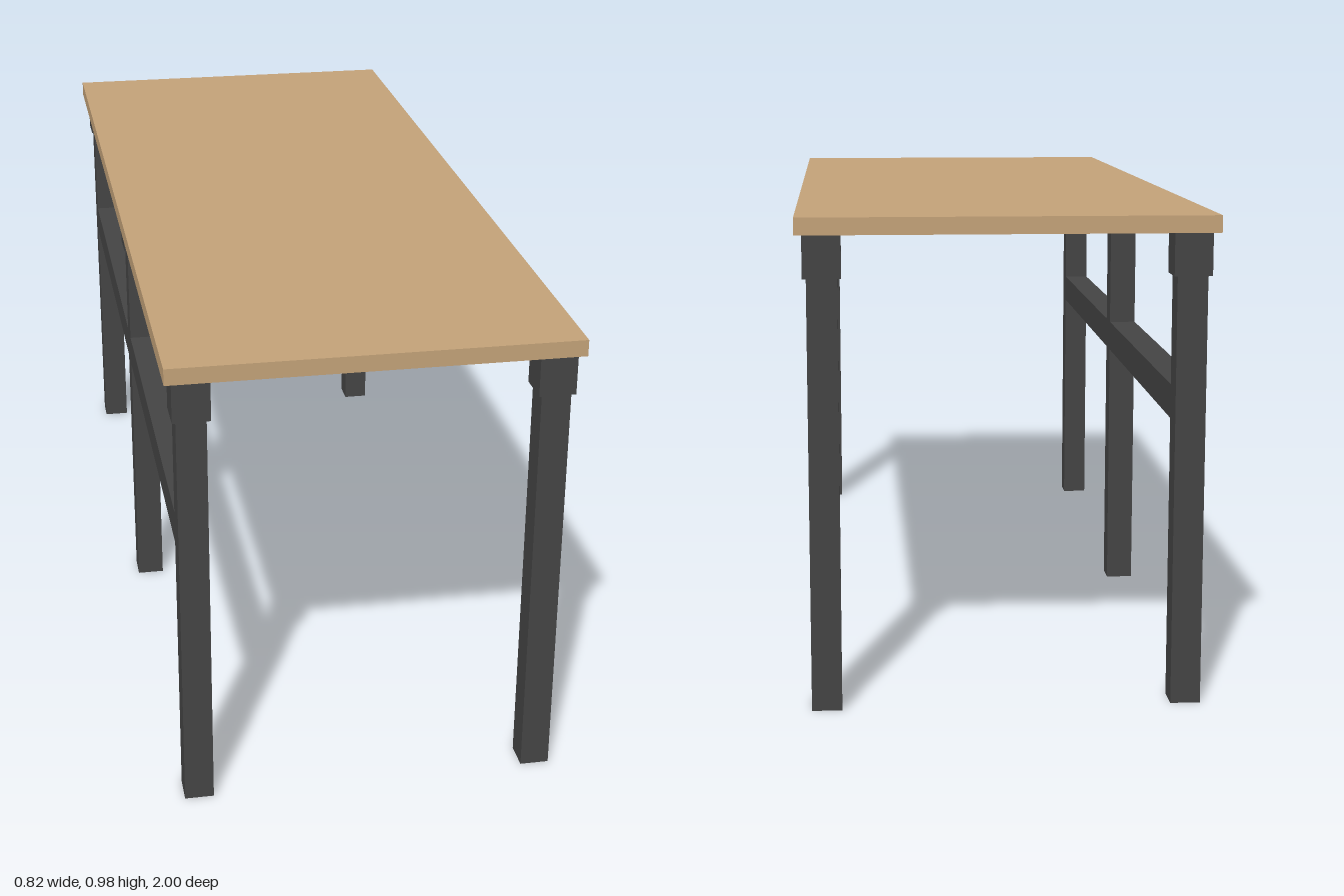
import * as THREE from 'three';

const LEG = 0.06, CAP = 0.075, CAP_BASE = 0.863, TOP_BASE = 0.948, HEIGHT = 0.982;
const LEG_X = 0.359, LEG_Z = 0.95;

export function createModel() {
  const table = new THREE.Group();
  table.name = 'table';
  const wood = new THREE.MeshStandardMaterial({ color: 0xc2a178 });
  const metal = new THREE.MeshStandardMaterial({ color: 0x444444 });

  // Box given by its size, bottom height and plan position
  function box(name, material, [w, h, d], x, bottom, z, parent) {
    const mesh = new THREE.Mesh(new THREE.BoxGeometry(w, h, d), material);
    mesh.name = name;
    mesh.position.set(x, bottom + h / 2, z);
    parent.add(mesh);
  }

  // Tabletop
  box('tabletop', wood, [0.822, HEIGHT - TOP_BASE, 2], 0, TOP_BASE, 0, table);

  // Square leg with a wider mounting block under the top
  function addLeg(name, x, z) {
    const leg = new THREE.Group();
    leg.name = name;
    leg.position.set(x, 0, z);
    box('legPost', metal, [LEG, CAP_BASE, LEG], 0, 0, 0, leg);
    box('legBlock', metal, [CAP, TOP_BASE - CAP_BASE, CAP], 0, CAP_BASE, 0, leg);
    table.add(leg);
  }
  addLeg('frontLeftLeg', LEG_X, LEG_Z);
  addLeg('backLeftLeg', LEG_X, -LEG_Z);
  addLeg('frontRightLeg', -LEG_X, LEG_Z);
  addLeg('middleRightLeg', -LEG_X, 0);
  addLeg('backRightLeg', -LEG_X, -LEG_Z);

  // Side rail, one length on each side of the middle leg
  for (const side of [1, -1]) {
    box(side > 0 ? 'frontRail' : 'backRail', metal, [LEG, 0.068, LEG_Z - LEG],
      -LEG_X, 0.572, side * LEG_Z / 2, table);
  }
  return table;
}
